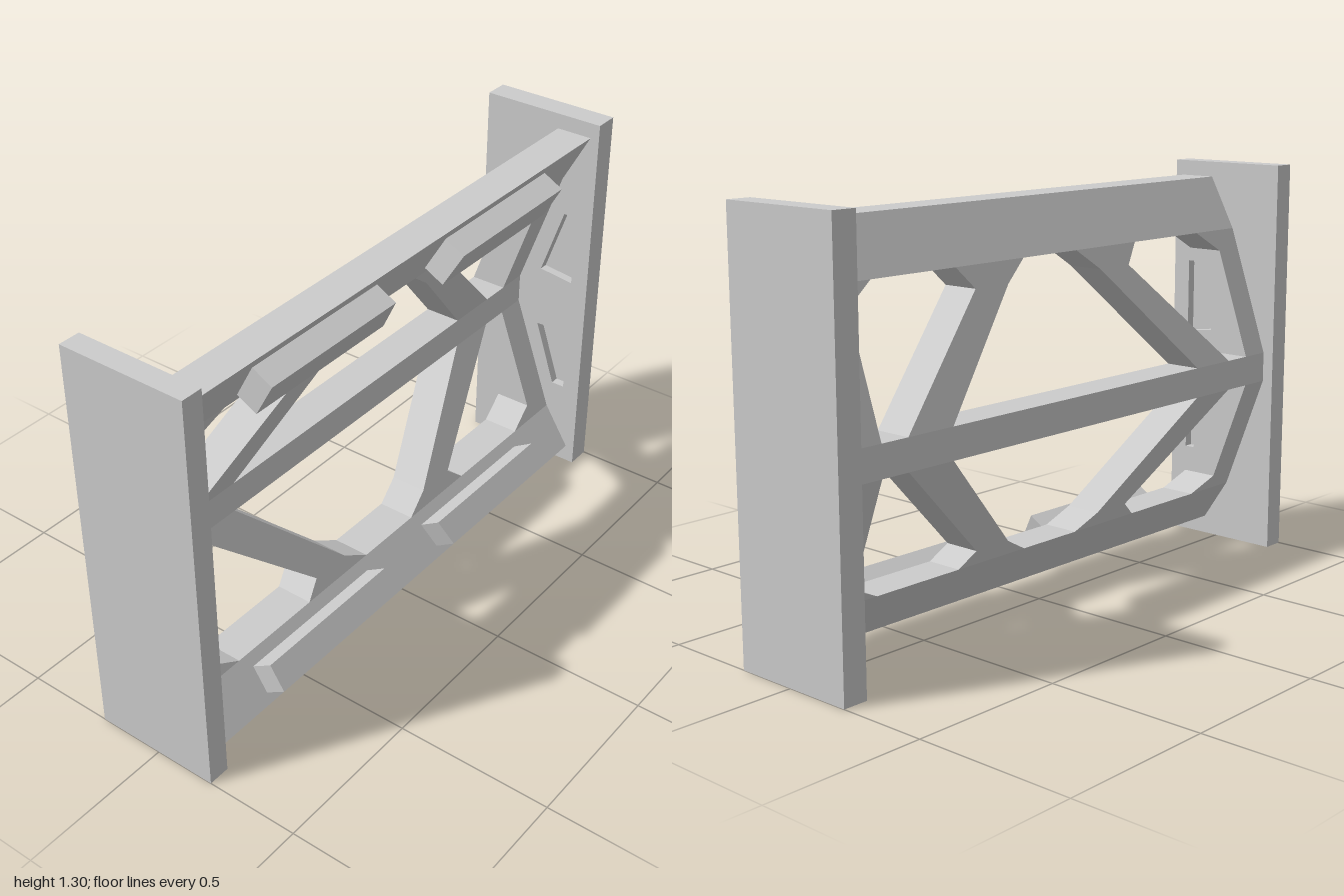
import * as THREE from 'three';

const mat = new THREE.MeshStandardMaterial({ color: 0xcccccc, flatShading: true });
const DEPTH = 0.12;

// Height levels of the bent panel, from the centre beam outwards
const HALVES = {
  upper: { mid: 0.675, corner: 1.02, crease: 1.085, outer: 1.253 },
  lower: { mid: 0.578, corner: 0.245, crease: 0.198, outer: 0.06 },
};
const BACK = { mid: -0.18, crease: -0.04, outer: 0.05 };

function shapeOf(points) {
  return new THREE.Shape(points.map(([x, y]) => new THREE.Vector2(x, y)));
}

function add(group, name, geometry) {
  const mesh = new THREE.Mesh(geometry, mat);
  mesh.name = name;
  group.add(mesh);
  return mesh;
}

// Extrudes a front outline and leans it so its back runs from z0 at y0 to z1 at y1
function leaningPiece(points, y0, z0, y1, z1) {
  const geo = new THREE.ExtrudeGeometry(shapeOf(points), { depth: DEPTH, bevelEnabled: false });
  const p = geo.attributes.position;
  for (let i = 0; i < p.count; i++) {
    const t = (p.getY(i) - y0) / (y1 - y0);
    p.setZ(i, p.getZ(i) + z0 + (z1 - z0) * t);
  }
  geo.computeVertexNormals();
  return geo;
}

// Pad with a four-corner cross-section in (z, y) and a slanted inner end
function padGeometry(section, side) {
  const geo = new THREE.BoxGeometry(1, 1, 1).toNonIndexed();
  const p = geo.attributes.position;
  for (let i = 0; i < p.count; i++) {
    const high = p.getY(i) > 0, front = p.getZ(i) > 0;
    const [z, y] = section[high ? (front ? 1 : 0) : (front ? 2 : 3)];
    const isOuterEnd = p.getX(i) * side > 0;
    const nearRim = Math.abs(y - 0.65) > 0.51;
    const x = isOuterEnd ? 0.688 : nearRim ? 0.163 : 0.143;
    p.setXYZ(i, side * x, y, z);
  }
  geo.computeVertexNormals();
  return geo;
}

// End plate: solid outer layer plus an inner layer with two pockets
function endPlate(side, thickness) {
  const plate = new THREE.Group();
  plate.name = side > 0 ? 'leftEndPlate' : 'rightEndPlate';
  const pocket = 0.03, height = 1.303, zBack = -0.217, zFront = 0.2;
  const solid = thickness - pocket;

  const outer = add(plate, 'plateOuterLayer', new THREE.BoxGeometry(solid, height, zFront - zBack));
  outer.position.set(side * (1 - solid / 2), height / 2, (zFront + zBack) / 2);

  const shape = shapeOf([[-zFront, 0], [-zBack, 0], [-zBack, height], [-zFront, height]]);
  for (const outline of [
    [[-0.14, 0.715], [-0.02, 0.73], [-0.095, 0.96], [-0.14, 0.96]],
    [[-0.14, 0.52], [-0.02, 0.515], [-0.095, 0.3], [-0.14, 0.3]],
  ]) shape.holes.push(shapeOf(outline));
  const geo = new THREE.ExtrudeGeometry(shape, { depth: pocket, bevelEnabled: false });
  geo.rotateY(Math.PI / 2);
  const inner = add(plate, 'plateInnerLayer', geo);
  inner.position.x = side > 0 ? 1 - thickness : -1 + solid;
  return plate;
}

export function createModel() {
  const model = new THREE.Group();
  model.name = 'trussFrame';
  model.add(endPlate(1, 0.08), endPlate(-1, 0.07));

  // Bent truss panel between the plates
  const panel = new THREE.Group();
  panel.name = 'trussPanel';
  panel.position.x = -0.006;
  model.add(panel);
  const W = 0.925;
  const rect = (a, b) => [[-W, a], [W, a], [W, b], [-W, b]];

  const lo = HALVES.lower.mid, hi = HALVES.upper.mid;
  add(panel, 'centreBeam', leaningPiece(rect(lo, hi), lo, BACK.mid, hi, BACK.mid));

  for (const [half, { mid, corner, crease, outer }] of Object.entries(HALVES)) {
    add(panel, half + 'Flange',
      leaningPiece(rect(crease, outer), crease, BACK.crease, outer, BACK.outer));

    const post = [[W, mid], [W, crease], [0.722, crease], [0.822, corner], [0.822, mid]];
    const brace = [[0.725, mid], [0.343, corner], [0.4, crease],
      [0.118, crease], [0.207, corner], [0.555, mid]];
    for (const side of [-1, 1]) {
      for (const [name, outline] of [['SidePost', post], ['DiagonalBrace', brace]]) {
        const points = outline.map(([x, y]) => [side * x, y]);
        add(panel, half + name, leaningPiece(points, mid, BACK.mid, crease, BACK.crease));
      }
    }
  }

  // Raised pads on the sloping flanges
  const sections = {
    upper: [[0.15, 1.223], [0.218, 1.186], [0.16, 1.08], [0.092, 1.116]],
    lower: [[0.1, 0.162], [0.169, 0.205], [0.218, 0.13], [0.15, 0.087]],
  };
  for (const [half, section] of Object.entries(sections)) {
    for (const side of [-1, 1]) add(panel, half + 'Pad', padGeometry(section, side));
  }
  return model;
}
